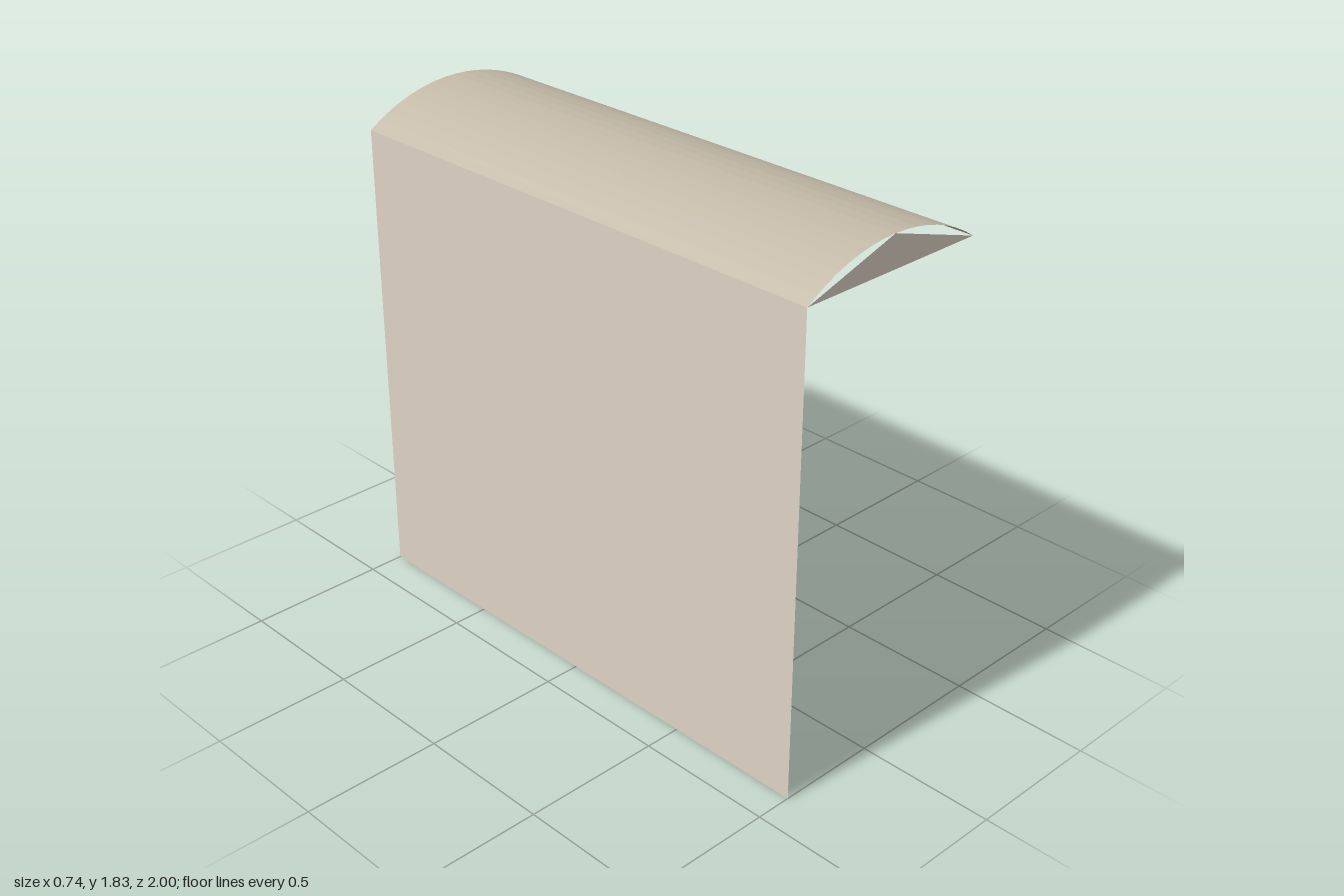
import * as THREE from 'three';

const mat = (color, side = THREE.FrontSide) =>
  new THREE.MeshStandardMaterial({ color, side, flatShading: true, roughness: 0.9 });

const wallMat = mat(0xddd2c4);
const thinWallMat = mat(0xddd2c4, THREE.DoubleSide);
const quoinMat = mat(0xc4baae);
const roofMat = mat(0xc4baa8, THREE.DoubleSide);
const glassMat = mat(0xb3c8d8);
const doorMat = mat(0x8b7560);

const EAVE = 1.71, RISE = 0.115, HALF = 0.37;

// Plan corners [x, z]
const FRONT = [-0.37, 1], A = [0.37, -0.45], C = [-0.03, -0.655], B = [0.083, -0.762], D = [-0.37, -1];

function add(parent, name, geometry, material, x = 0, y = 0, z = 0) {
  const mesh = new THREE.Mesh(geometry, material);
  mesh.name = name;
  mesh.position.set(x, y, z);
  parent.add(mesh);
  return mesh;
}

const box = (w, h, d) => new THREE.BoxGeometry(w, h, d);

// Flat plan polygon raised to a height
function plan(points, height) {
  const shape = new THREE.Shape(points.map(([x, z]) => new THREE.Vector2(x, -z)));
  return new THREE.ExtrudeGeometry(shape, { depth: height, bevelEnabled: false }).rotateX(-Math.PI / 2);
}

// Group on a wall from p to q: x runs along the wall, z points outward
function wallFrame(parent, name, p, q) {
  const dx = q[0] - p[0], dz = q[1] - p[1];
  const g = new THREE.Group();
  g.name = name;
  g.position.set((p[0] + q[0]) / 2, 0, (p[1] + q[1]) / 2);
  g.rotation.y = Math.atan2(-dz, dx);
  g.userData.length = Math.hypot(dx, dz);
  parent.add(g);
  return g;
}

// Projecting box with a coloured face
function opening(parent, name, y0, y1, faceMat) {
  const w = 0.192, h = y1 - y0, y = (y0 + y1) / 2;
  add(parent, name + 'Surround', box(w, h, 0.028), wallMat, 0, y, 0.014);
  add(parent, name, box(w, h, 0.002), faceMat, 0, y, 0.029);
}

function windows(parent) {
  opening(parent, 'lowerWindow', 0.875, 1.17, glassMat);
  opening(parent, 'upperWindow', 1.28, 1.575, glassMat);
}

// Row of small blocks under the eave
function dentils(parent, count) {
  for (let i = 0; i < count; i++) {
    add(parent, 'dentil', box(0.036, 0.025, 0.014), wallMat, (i - (count - 1) / 2) * 0.067, 1.662, 0.007);
  }
}

// Column of corner stones; side is -1 for the start of the wall, 1 for its end
function quoins(parent, side, width, step = 1) {
  const x = side * (parent.userData.length / 2 - width / 2);
  for (let i = 0; i < 11; i += step) {
    add(parent, 'quoin', box(width, 0.1, 0.006), quoinMat, x, 0.05 + i * 0.1485, 0.001);
  }
}

export function createModel() {
  const house = new THREE.Group();
  house.name = 'house';

  // Wedge-shaped body with a stepped facade
  add(house, 'body', plan([FRONT, A, C, B, D], EAVE), wallMat);

  // Facade details
  const inner = wallFrame(house, 'recessedFacade', A, C);
  windows(inner);
  dentils(inner, 6);
  quoins(inner, 1, 0.06);

  const step = wallFrame(house, 'facadeStep', C, B);
  quoins(step, -1, 0.058, 2);
  quoins(step, 1, 0.058);

  const outer = wallFrame(house, 'projectingFacade', B, D);
  windows(outer);
  opening(outer, 'door', 0, 0.41, doorMat);
  dentils(outer, 7);
  quoins(outer, -1, 0.06);

  // Triangular balcony slabs filling the step
  for (const y of [0.703, 1.114]) add(house, 'balcony', plan([A, C, B], 0.004), thinWallMat, 0, y, 0);

  // Thin barrel roof
  const R = (HALF * HALF + RISE * RISE) / (2 * RISE);
  const sweep = 2 * Math.asin(HALF / R);
  const roof = new THREE.CylinderGeometry(R, R, 2, 16, 1, true, Math.PI - sweep / 2, sweep);
  roof.rotateX(Math.PI / 2);
  add(house, 'roof', roof, roofMat, 0, EAVE + RISE - R, 0);

  // Triangular gables at both ends
  const gable = new THREE.ShapeGeometry(new THREE.Shape([
    new THREE.Vector2(-HALF, 0), new THREE.Vector2(HALF, 0), new THREE.Vector2(0, RISE),
  ]));
  for (const z of [1, -1]) add(house, 'gable', gable, thinWallMat, 0, EAVE, z);

  return house;
}
